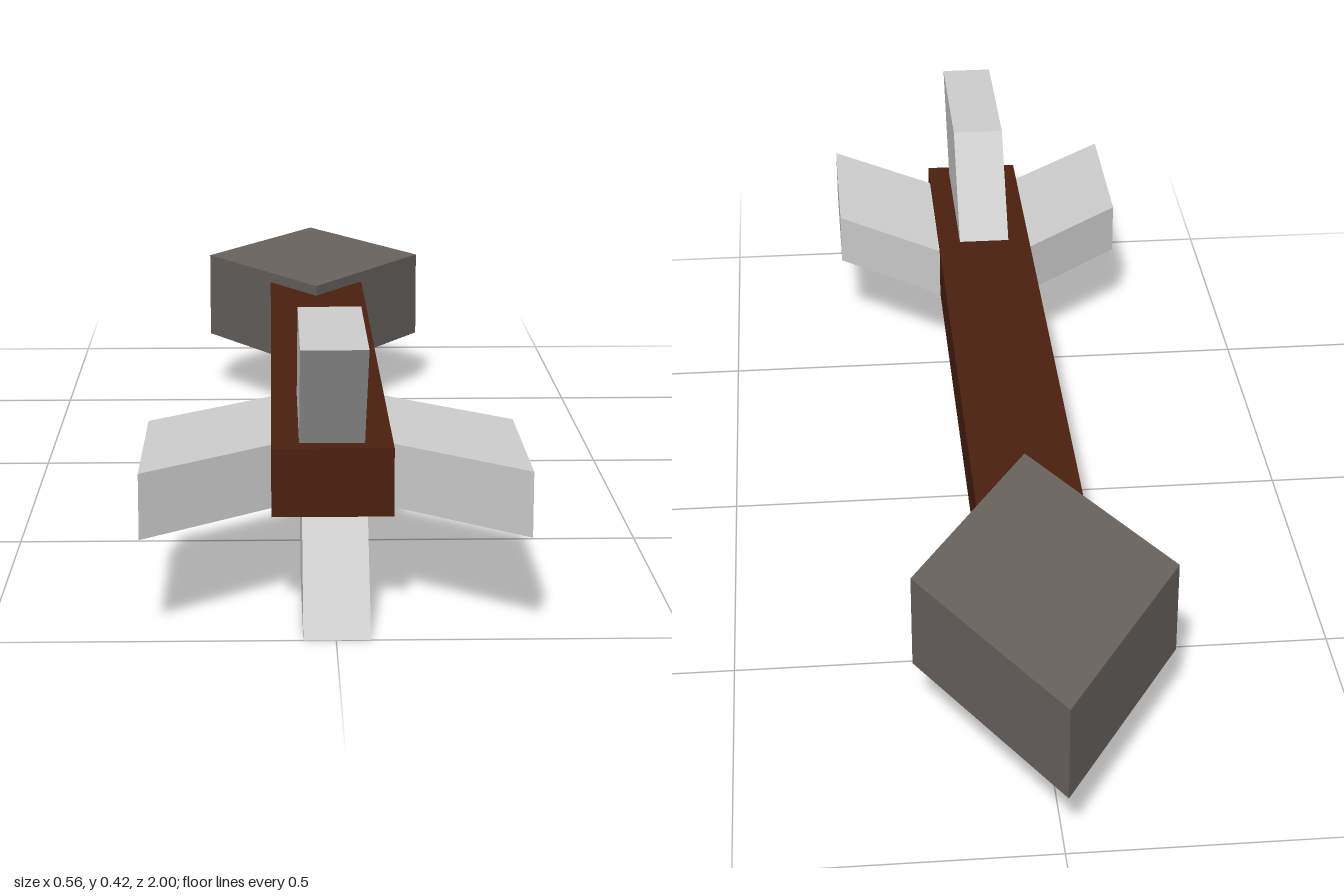
import * as THREE from 'three';

const wood = new THREE.MeshStandardMaterial({ color: 0x4a200e });
wood.name = 'dark wood';
const stone = new THREE.MeshStandardMaterial({ color: 0x68625e });
stone.name = 'grey stone';
const feather = new THREE.MeshStandardMaterial({ color: 0xcccccc });
feather.name = 'pale feather';

// Flat prism: outline given as [x, z] pairs, thickness centred on y = 0
function prism(name, outline, thickness, material) {
  const shape = new THREE.Shape(outline.map(([x, z]) => new THREE.Vector2(x, z)));
  const geometry = new THREE.ExtrudeGeometry(shape, { depth: thickness, bevelEnabled: false });
  geometry.translate(0, 0, -thickness / 2);
  geometry.rotateX(Math.PI / 2);
  const mesh = new THREE.Mesh(geometry, material);
  mesh.name = name;
  return mesh;
}

export function createModel() {
  const model = new THREE.Group();
  model.name = 'arrow';

  // Square-cut shaft
  const shaft = new THREE.Mesh(new THREE.BoxGeometry(0.18, 0.103, 1.325), wood);
  shaft.name = 'shaft';
  shaft.position.set(-0.002, 0.2015, 0.2225);
  model.add(shaft);

  // Diamond head
  const head = prism('arrowHead',
    [[0, -1], [0.213, -0.648], [0, -0.296], [-0.213, -0.648]], 0.165, stone);
  head.position.set(-0.004, 0.1895, 0);
  model.add(head);

  // Four swept fins: name, angle, root and tip distance, front root/tip z, rear root/tip z, offset
  const fins = [
    ['leftFin', 0, 0.085, 0.28, 0.512, 0.68, 0.825, 0.993, 0, -0.003],
    ['topFin', 1, 0.045, 0.224, 0.53, 0.685, 0.845, 1, -0.0025, 0],
    ['rightFin', 2, 0.085, 0.28, 0.512, 0.68, 0.825, 0.993, 0, -0.003],
    ['bottomFin', 3, 0.045, 0.2, 0.545, 0.685, 0.86, 1, 0.0015, 0],
  ];
  for (const [name, turn, root, tip, z0, z1, z2, z3, dx, dy] of fins) {
    const fin = prism(name, [[root, z0], [tip, z1], [tip, z3], [root, z2]], 0.097, feather);
    fin.rotation.z = turn * Math.PI / 2;
    fin.position.set(dx, 0.2 + dy, 0);
    model.add(fin);
  }
  return model;
}
